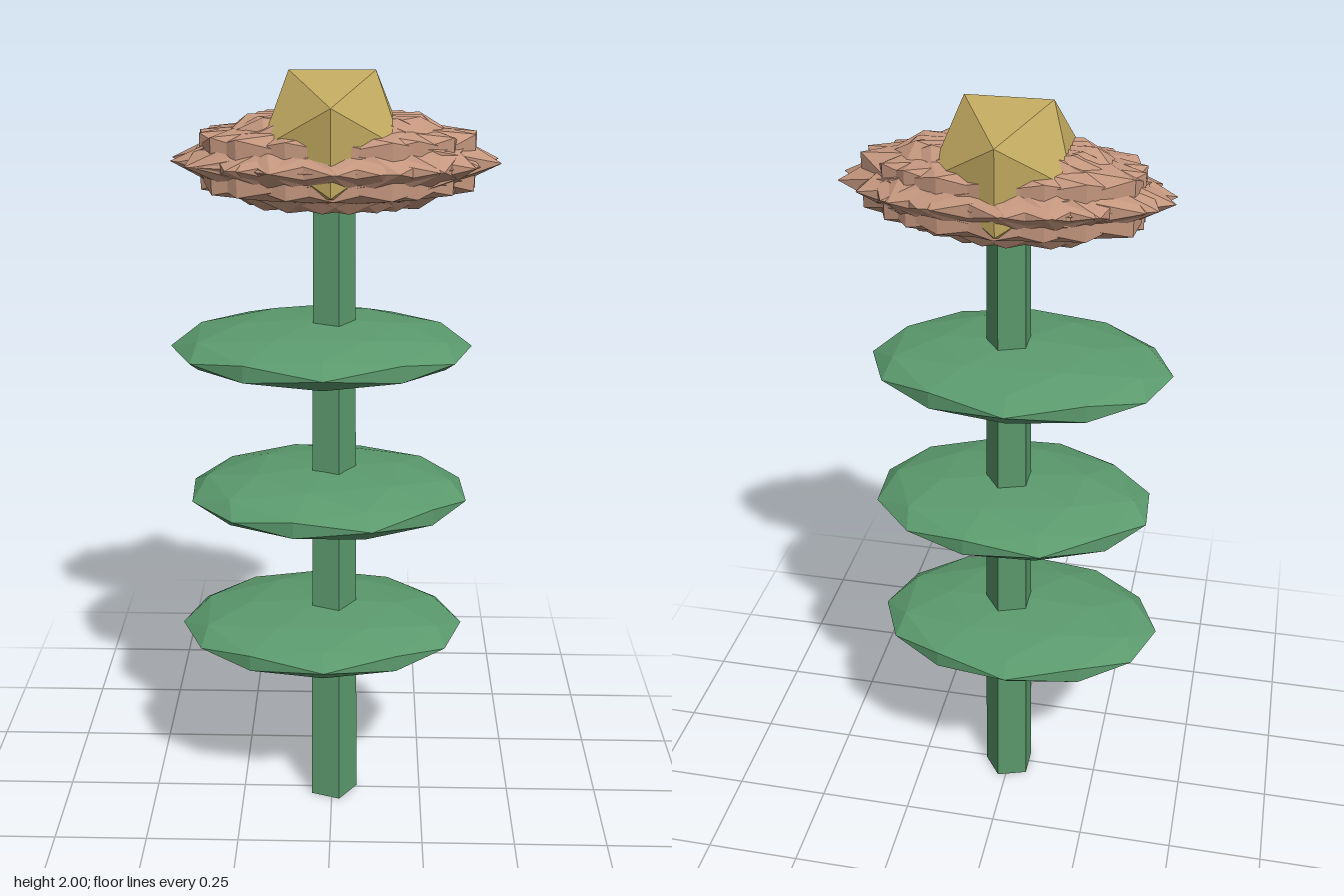
import * as THREE from 'three';

const material = (color) => new THREE.MeshStandardMaterial({ color, flatShading: true });

// Flattened faceted ball, spun about y before it is stretched
function facetedBall(name, mat, detail, spin, size, position) {
  const geometry = new THREE.IcosahedronGeometry(1, detail);
  geometry.rotateY(spin);
  geometry.scale(...size);
  const mesh = new THREE.Mesh(geometry, mat);
  mesh.name = name;
  mesh.position.set(...position);
  return mesh;
}

export function createModel() {
  const model = new THREE.Group();
  model.name = 'flower';
  const green = material(0x5b9a6d);
  const pink = material(0xc4967e);
  const gold = material(0xbfa75f);
  const axisZ = -0.01;

  // Tapering five-sided stem
  const stem = new THREE.Mesh(new THREE.CylinderGeometry(0.055, 0.07, 1.76, 5), green);
  stem.name = 'stem';
  stem.rotation.y = Math.PI / 2;
  stem.position.set(0, 0.88, axisZ + 0.003);
  model.add(stem);

  // Three flat leaf tiers
  const tiers = [
    { y: 0.54, x: -0.027, rx: 0.377, spin: 0.03 },
    { y: 0.935, x: -0.01, rx: 0.365, spin: 0.32 },
    { y: 1.33, x: -0.027, rx: 0.377, spin: 0.03 },
  ];
  for (const { y, x, rx, spin } of tiers) {
    model.add(facetedBall('leaf', green, 1, spin, [rx, 0.07, 0.272], [x, y, 0]));
  }

  // Jagged blossom: overlapping copies turned about the stem
  const petals = new THREE.Group();
  petals.name = 'petals';
  const copies = 9;
  for (let i = 0; i < copies; i++) {
    const spin = (i * Math.PI) / copies + 0.05 * Math.sin(i * 2.3);
    const shift = 0.012 * Math.sin(i * 1.7);
    petals.add(facetedBall('petal', pink, 0, spin, [0.39, 0.128, 0.183], [0.005 + shift, 1.79, axisZ - 0.003]));
  }
  model.add(petals);

  // Flower centre
  model.add(facetedBall('flowerCentre', gold, 0, 0, [0.194, 0.194, 0.194], [0, 1.835, axisZ - 0.002]));
  return model;
}
